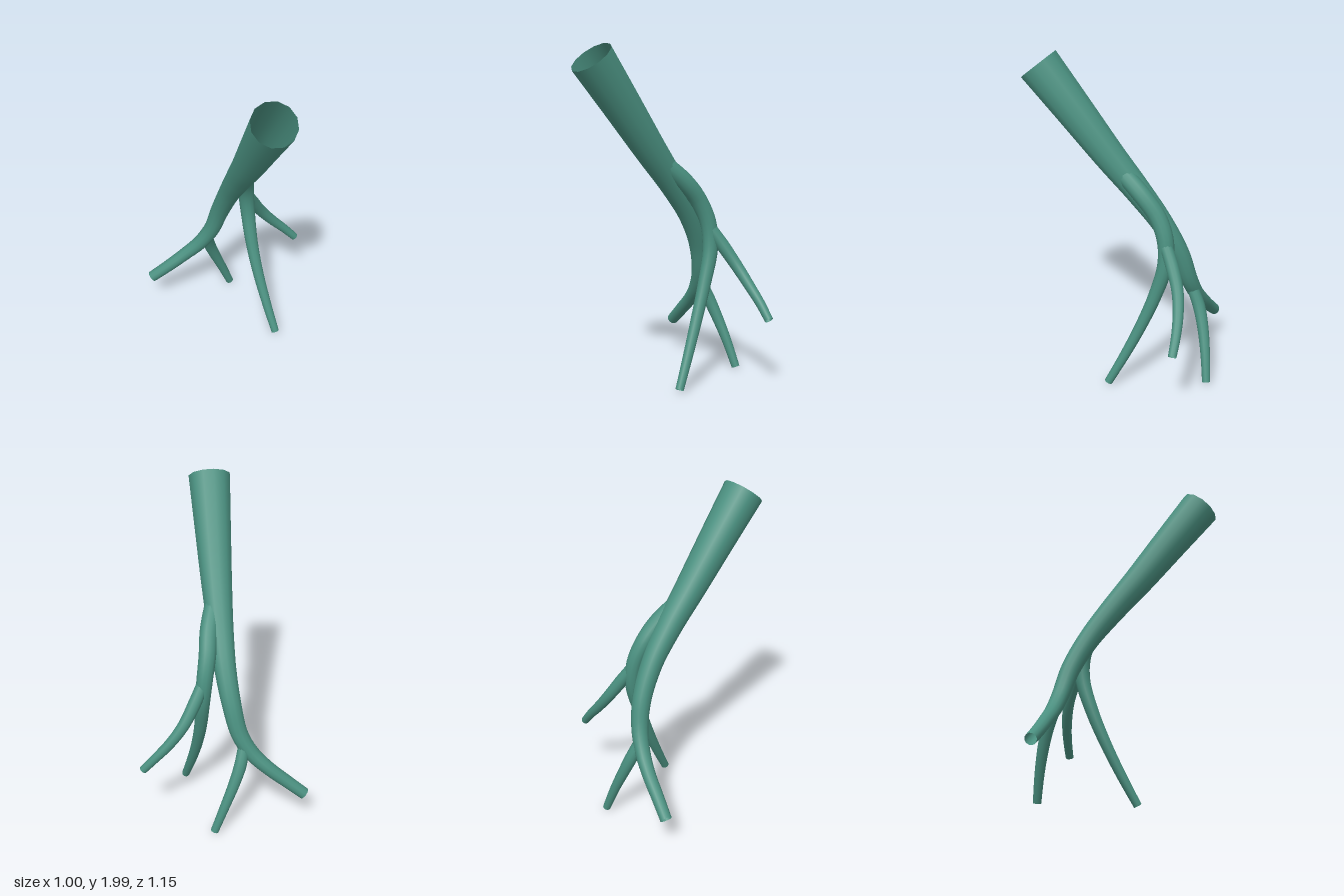
import * as THREE from 'three';

const SIDES = 12;

// Open tapered tube; each control point is [x, y, z, radius]
function taperedTube(points, segments) {
  const curve = new THREE.CatmullRomCurve3(points.map(p => new THREE.Vector3(p[0], p[1], p[2])));
  const geo = new THREE.TubeGeometry(curve, segments, 1, SIDES, false);
  const pos = geo.attributes.position;
  const v = new THREE.Vector3();
  const last = points.length - 1;
  for (let i = 0; i <= segments; i++) {
    const u = i / segments;
    const center = curve.getPointAt(u);
    const s = curve.getUtoTmapping(u) * last;
    const k = Math.min(Math.floor(s), last - 1);
    const r = THREE.MathUtils.lerp(points[k][3], points[k + 1][3], s - k);
    for (let j = 0; j <= SIDES; j++) {
      const n = i * (SIDES + 1) + j;
      v.fromBufferAttribute(pos, n).sub(center).multiplyScalar(r).add(center);
      pos.setXYZ(n, v.x, v.y, v.z);
    }
  }
  return geo;
}

export function createModel() {
  const group = new THREE.Group();
  group.name = 'branchingTubes';
  const green = new THREE.MeshStandardMaterial({ color: 0x4a9080, side: THREE.DoubleSide });
  green.name = 'tubeGreen';

  const tubes = {
    // wide trunk, bending out to the lower right tip
    trunk: [
      [0.375, 1.92, 0.468, 0.128], [0.285, 1.66, 0.283, 0.111], [0.195, 1.4, 0.1, 0.094],
      [0.12, 1.2, -0.045, 0.08], [0.045, 1.0, -0.17, 0.067], [-0.025, 0.8, -0.25, 0.059],
      [-0.085, 0.62, -0.278, 0.052], [-0.16, 0.5, -0.276, 0.047], [-0.255, 0.405, -0.26, 0.042],
      [-0.365, 0.31, -0.23, 0.039], [-0.477, 0.219, -0.202, 0.036],
    ],
    // long side branch leaving the upper trunk
    sideBranch: [
      [0.185, 1.34, 0.05, 0.055], [0.165, 1.2, -0.115, 0.055], [0.14, 1.08, -0.21, 0.053],
      [0.138, 0.95, -0.265, 0.05], [0.15, 0.8, -0.275, 0.046], [0.185, 0.6, -0.23, 0.04],
      [0.24, 0.4, -0.168, 0.035], [0.312, 0.2, -0.097, 0.03], [0.385, 0.022, -0.028, 0.025],
    ],
    // rear fork of the side branch
    rearFork: [
      [0.145, 0.93, -0.27, 0.038], [0.175, 0.82, -0.345, 0.04], [0.22, 0.7, -0.42, 0.036],
      [0.29, 0.59, -0.478, 0.032], [0.365, 0.5, -0.52, 0.028], [0.435, 0.417, -0.549, 0.025],
    ],
    // rear fork of the trunk
    lowerFork: [
      [-0.115, 0.56, -0.28, 0.036], [-0.11, 0.44, -0.34, 0.039], [-0.085, 0.32, -0.39, 0.035],
      [-0.045, 0.18, -0.44, 0.03], [0.005, 0.014, -0.488, 0.025],
    ],
  };

  for (const [name, points] of Object.entries(tubes)) {
    const mesh = new THREE.Mesh(taperedTube(points, points.length * 5), green);
    mesh.name = name;
    group.add(mesh);
  }
  return group;
}
